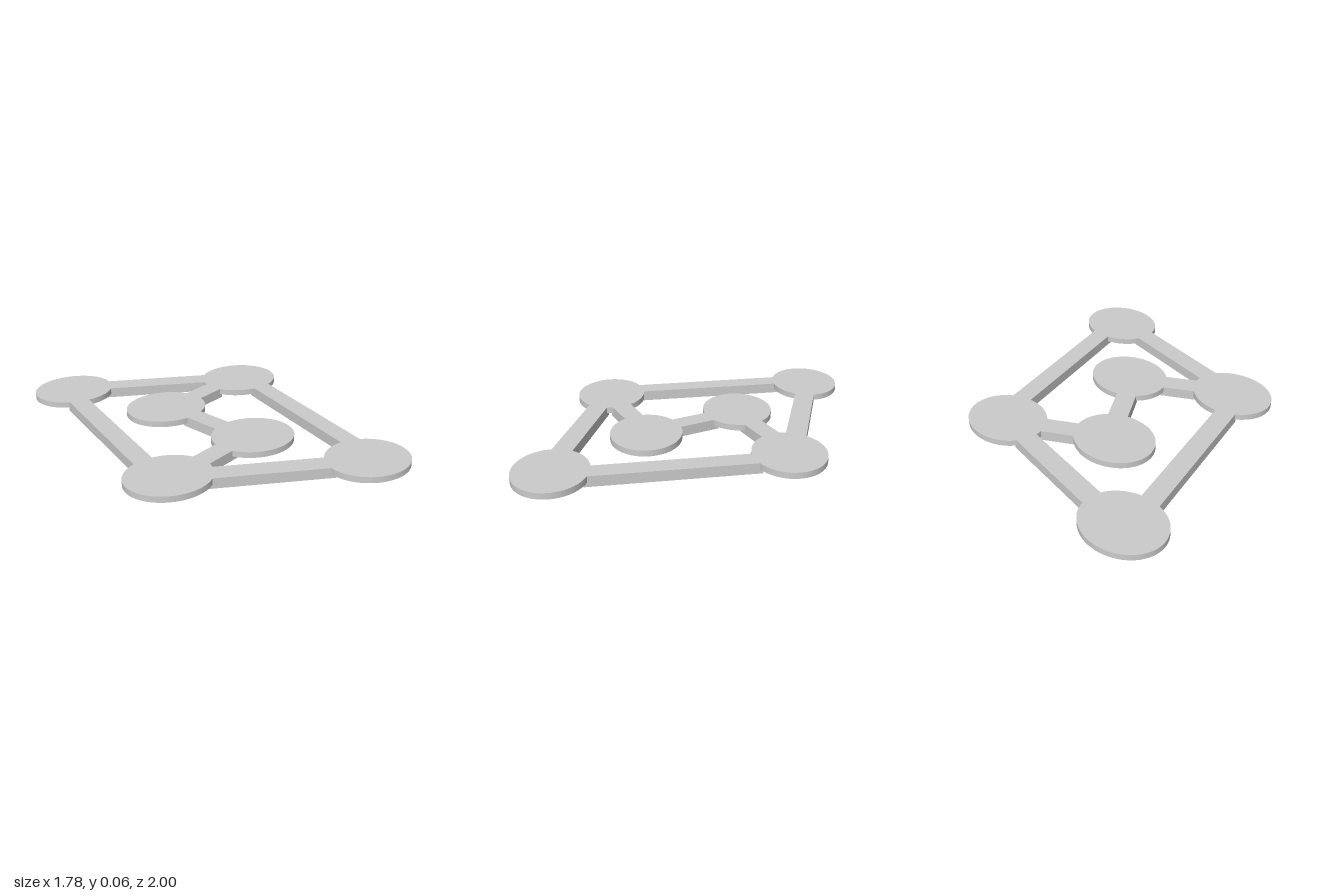
import * as THREE from 'three';

const TOP = 0.064;      // shared upper surface of pads and bars
const RIM_BASE = 0.027; // pad rims hang down to here, open underneath
const BAR_WIDTH = 0.122;

const material = new THREE.MeshStandardMaterial({ color: 0xcccccc });
const thinMaterial = new THREE.MeshStandardMaterial({ color: 0xcccccc, side: THREE.DoubleSide });

// Hollow elliptical pad centred on (x, z): a thin top with a rim, open below
function pad(name, x, z) {
  const height = TOP - RIM_BASE;
  const group = new THREE.Group();
  group.name = name;

  const cover = new THREE.Mesh(new THREE.CircleGeometry(1, 72).rotateX(-Math.PI / 2), thinMaterial);
  cover.name = 'padTop';
  cover.position.y = TOP;

  const rim = new THREE.Mesh(
    new THREE.CylinderGeometry(1, 1, height, 72, 1, true).rotateY(Math.PI / 2), thinMaterial);
  rim.name = 'padRim';
  rim.position.y = RIM_BASE + height / 2;

  group.add(cover, rim);
  group.scale.set(0.253, 1, 0.2145);
  group.position.set(x, 0, z);
  return group;
}

// Straight bar between two points on the ground plane
function bar(name, [x1, z1], [x2, z2]) {
  const length = Math.hypot(x2 - x1, z2 - z1);
  const mesh = new THREE.Mesh(new THREE.BoxGeometry(length, TOP, BAR_WIDTH), material);
  mesh.name = name;
  mesh.position.set((x1 + x2) / 2, TOP / 2, (z1 + z2) / 2);
  mesh.rotation.y = -Math.atan2(z2 - z1, x2 - x1);
  return mesh;
}

// Half of the linkage: three pads and the bars joining them
function half(name) {
  const group = new THREE.Group();
  group.name = name;
  group.add(
    pad('outerPad', -0.636, -0.7855),
    pad('cornerPad', 0.457, -0.528),
    pad('innerPad', -0.167, -0.283),
    bar('endBar', [-0.431, -0.76], [0.258, -0.593]),
    bar('sideBar', [-0.658, -0.612], [-0.53, 0.358]),
    bar('innerBar', [0.25, -0.458], [0.014, -0.345]),
  );
  return group;
}

export function createModel() {
  const model = new THREE.Group();
  model.name = 'linkedPads';

  // The two halves are the same, turned half a circle
  const back = half('backHalf');
  const front = half('frontHalf');
  front.rotation.y = Math.PI;

  model.add(back, front, bar('centreBar', [-0.062, -0.131], [0.062, 0.131]));
  return model;
}
